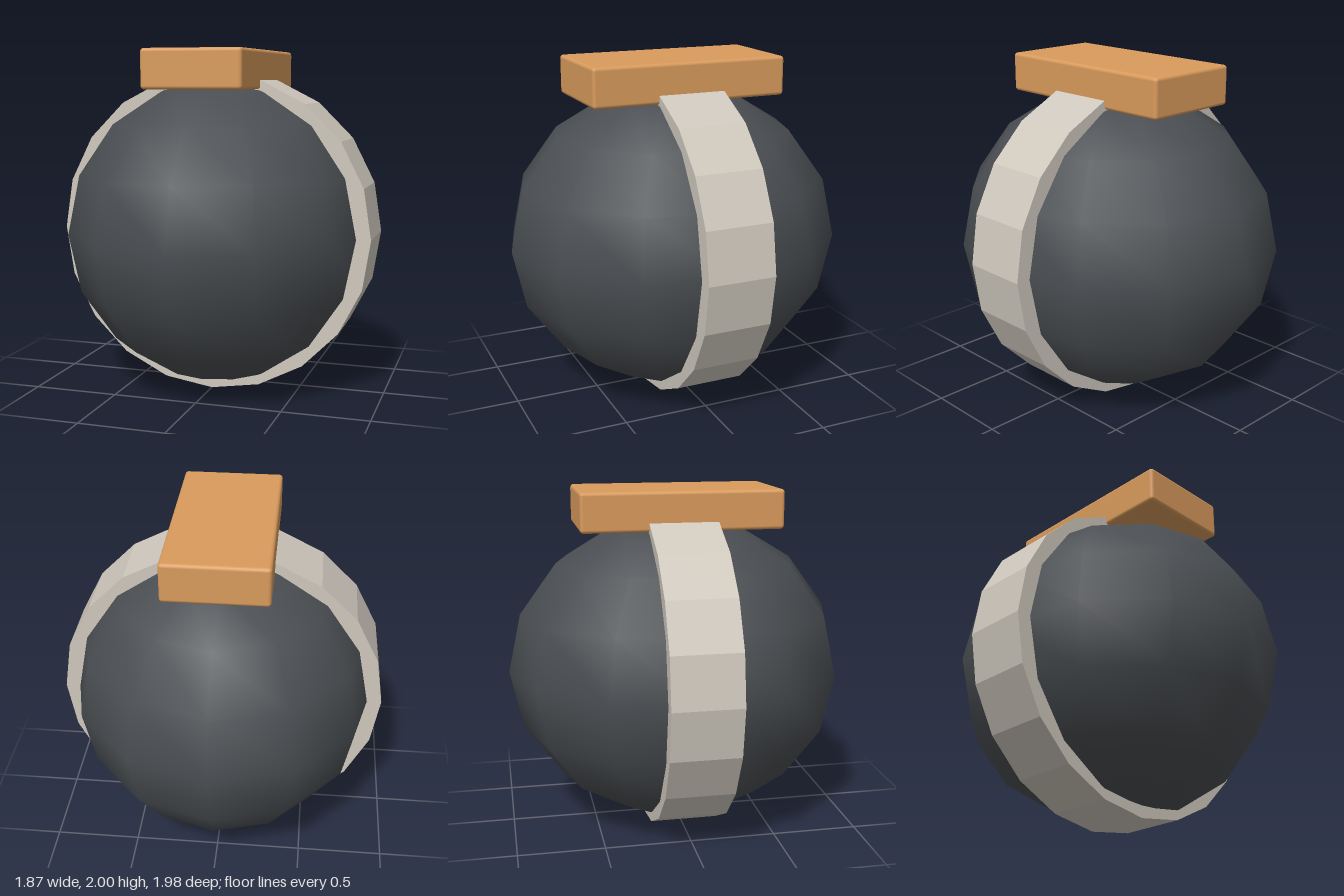
import * as THREE from 'three';
import { RoundedBoxGeometry } from 'three/addons/geometries/RoundedBoxGeometry.js';

const CENTRE_Y = 0.936;

function addPart(group, name, geometry, color, y, flatShading = false) {
  const mesh = new THREE.Mesh(geometry, new THREE.MeshStandardMaterial({ color, flatShading }));
  mesh.name = name;
  mesh.position.y = y;
  group.add(mesh);
}

export function createModel() {
  const model = new THREE.Group();
  model.name = 'bandedBall';

  // Low-sided smooth ball, stretched a little from front to back
  const ball = new THREE.SphereGeometry(0.9, 12, 8).scale(1, 1, 1.1);
  addPart(model, 'ball', ball, 0x4a4e52, CENTRE_Y);

  // Faceted band around the middle, its axis along z
  const band = new THREE.CylinderGeometry(0.936, 0.936, 0.396, 20).rotateX(Math.PI / 2);
  addPart(model, 'band', band, 0xcfc8bd, CENTRE_Y, true);

  // Block with softened edges lying on top
  const block = new RoundedBoxGeometry(0.58, 0.225, 1.16, 2, 0.02);
  addPart(model, 'topBlock', block, 0xd99b5c, 2 - 0.225 / 2);

  return model;
}
